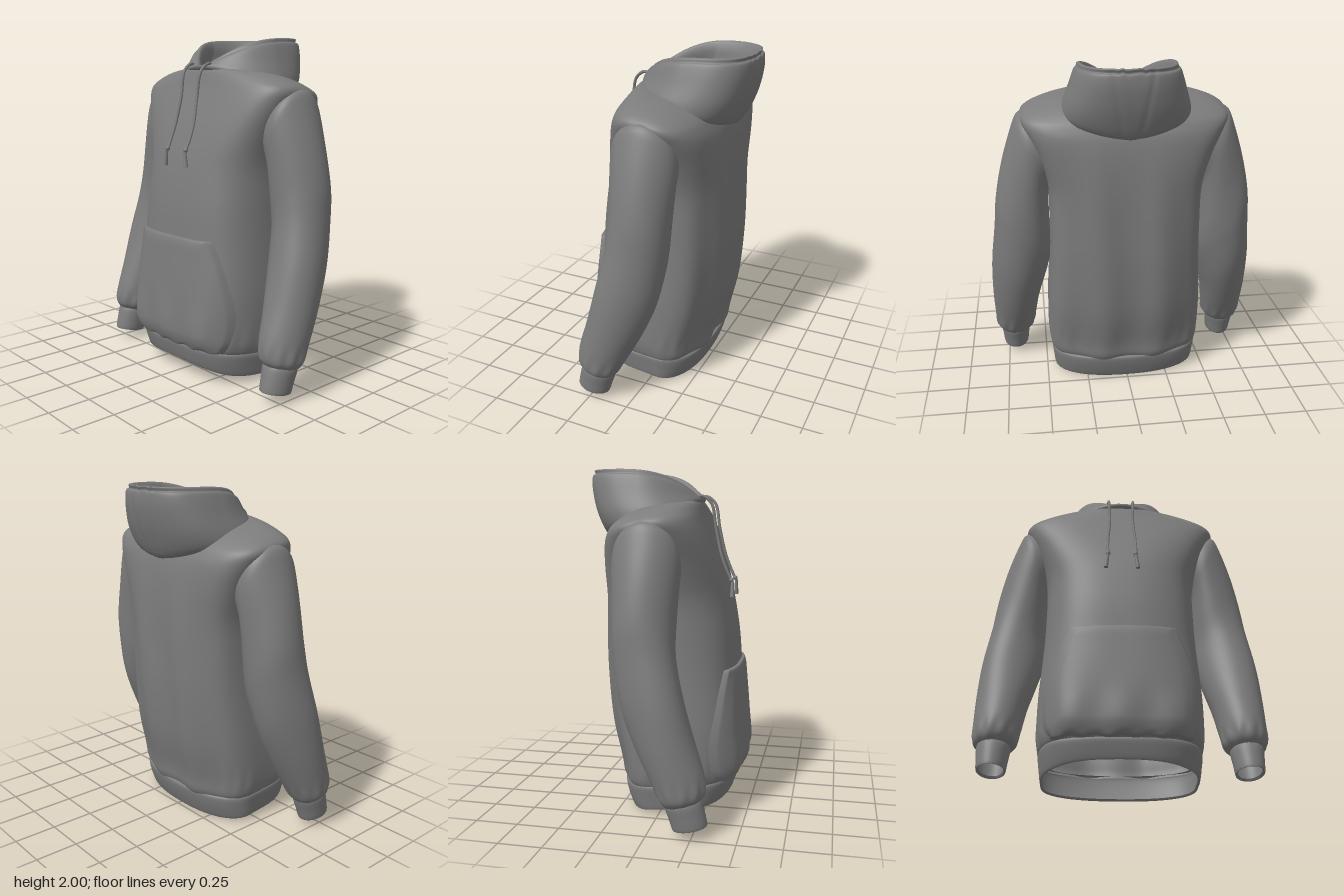
import * as THREE from 'three';

const material = new THREE.MeshStandardMaterial({ color: 0x7c7c7c, side: THREE.DoubleSide });

// Smoothly subdivides a list of key rows (arrays of equal length).
function refine(keys, steps) {
  const out = [];
  const at = i => keys[Math.max(0, Math.min(keys.length - 1, i))];
  for (let i = 0; i < keys.length - 1; i++) {
    for (let s = 0; s < steps; s++) {
      const t = s / steps;
      out.push(keys[i].map((b, k) => {
        const a = at(i - 1)[k], c = at(i + 1)[k], d = at(i + 2)[k];
        return b + 0.5 * t * (c - a + t * (2 * a - 5 * b + 4 * c - d + t * (3 * (b - c) + d - a)));
      }));
    }
  }
  out.push(keys[keys.length - 1]);
  return out;
}

// Surface through rows of points; rows may be closed loops.
function skin(name, rows, closed) {
  const n = rows[0].length, index = [];
  for (let i = 0; i < rows.length - 1; i++) {
    for (let j = 0; j < (closed ? n : n - 1); j++) {
      const k = (j + 1) % n;
      const a = i * n + j, b = i * n + k, c = a + n, d = b + n;
      index.push(a, b, d, a, d, c);
    }
  }
  const geo = new THREE.BufferGeometry();
  geo.setAttribute('position', new THREE.Float32BufferAttribute(rows.flat(2), 3));
  geo.setIndex(index);
  geo.computeVertexNormals();
  const mesh = new THREE.Mesh(geo, material);
  mesh.name = name;
  return mesh;
}

// Rounded cross-section: half width, front z, back z, middle z, front and back
// squareness, front y, back y, and how quickly y changes from front to back.
function ring([w, zf, zb, zc, nf, nb, yf, yb, p], count, shape) {
  const pts = [];
  for (let j = 0; j < count; j++) {
    const a = j / count * Math.PI * 2, s = Math.sin(a), c = Math.cos(a);
    const e = 2 / (c >= 0 ? nf : nb);
    const x = w * Math.sign(s) * Math.abs(s) ** e;
    const z = zc + (c >= 0 ? zf - zc : zb - zc) * Math.abs(c) ** e;
    const t = THREE.MathUtils.clamp((zf - z) / (zf - zb), 0, 1);
    const pt = [x, yf + (yb - yf) * (1 - (1 - t) ** p), z];
    if (shape) shape(pt, a);
    pts.push(pt);
  }
  return pts;
}

const torsoRings = refine([
  [.455, .400, -.255, -.03, 3.5, 2.4, .19, .14, 1],
  [.470, .420, -.272, -.03, 3.5, 2.5, .22, .18, 1],
  [.480, .430, -.285, -.03, 3.5, 2.5, .30, .27, 1],
  [.478, .432, -.335, -.03, 3.4, 2.7, .52, .50, 1],
  [.460, .412, -.360, -.03, 3.1, 3.1, .80, .80, 1],
  [.453, .395, -.365, -.03, 2.9, 3.4, 1.03, 1.03, 1],
  [.458, .355, -.365, -.03, 2.9, 3.6, 1.26, 1.26, 1],
  [.508, .300, -.357, -.04, 3.4, 3.7, 1.45, 1.44, 1],
  [.572, .240, -.340, -.05, 3.8, 3.6, 1.61, 1.57, 1],
  [.606, .205, -.315, -.05, 3.4, 3.3, 1.70, 1.64, 1],
  [.575, .188, -.295, -.05, 2.7, 2.8, 1.755, 1.68, 1],
  [.480, .174, -.265, -.05, 2.2, 2.3, 1.80, 1.72, 1],
  [.365, .160, -.235, -.05, 1.9, 2.1, 1.815, 1.75, 1],
  [.200, .140, -.200, -.05, 1.7, 2.2, 1.785, 1.80, 1],
], 5);

// Gathers above the hem and long soft folds down the back.
function torsoFolds(pt, a) {
  const [x, y, z] = pt;
  const gather = 1 + 0.005 * Math.sin(a * 22) * Math.exp(-(((y - 0.27) / 0.07) ** 2));
  pt[0] = x * gather;
  pt[2] = z * gather;
  if (z < -0.1) {
    const fade = Math.min(1, (-0.1 - z) / 0.15) * Math.max(0, Math.min(1, (1.6 - y) / 0.5));
    pt[2] += 0.013 * Math.cos(x * 19 + 0.5 * Math.sin(y * 3)) * fade;
  }
}

// Front surface of the torso, used to lay the pocket on.
function chestZ(x, y) {
  let i = 0;
  while (i < torsoRings.length - 2 && torsoRings[i + 1][6] < y) i++;
  const A = torsoRings[i], B = torsoRings[i + 1];
  const t = THREE.MathUtils.clamp((y - A[6]) / (B[6] - A[6]), 0, 1);
  const [w, zf, , zc, nf] = A.map((v, k) => v + (B[k] - v) * t);
  return zc + (zf - zc) * Math.max(0, 1 - Math.min(1, Math.abs(x) / w) ** nf) ** (1 / nf);
}

function makePocket() {
  const rows = [], R = 36, C = 60;
  const outline = refine([[.385, .20], [.425, .27], [.440, .38], [.432, .50], [.385, .68], [.330, .82], [.308, .85]], 6);
  for (let i = 0; i <= R; i++) {
    const [half, y] = outline[i], row = [];
    for (let j = 0; j <= C; j++) {
      const u = j / C * 2 - 1, x = u * half;
      const edge = Math.min(i, R - i, j, C - j);
      const sag = 0.013 * Math.exp(-(((y - 0.30) / 0.15) ** 2));
      const flare = 0.012 * u ** 6;
      const lift = edge === 0 ? -0.012 : 0.014 + flare + 0.012 * Math.min(1, (edge - 1) / 6) + sag * (1 + 0.7 * Math.cos(x * 22));
      row.push([x, y + (i < 3 ? 0.005 * Math.cos(x * 45) : 0), chestZ(x, y) + lift]);
    }
    rows.push(row);
  }
  return skin('frontPocket', rows, false);
}

// Sleeve ring: outer x, y, inner x, y, middle z, half depth, tilt with z.
function sleeveRing([ox, oy, ix, iy, zc, d, tilt], side, wrinkles) {
  const pts = [], N = 64;
  for (let j = 0; j < N; j++) {
    const a = j / N * Math.PI * 2;
    const yMid = (oy + iy) / 2;
    const k = wrinkles ? 1 + 0.02 * Math.sin(3 * a + yMid * 7) * Math.min(1, Math.max(0, 1.35 - yMid) * 3)
      + 0.03 * Math.sin(11 * a) * Math.exp(-(((yMid - 0.25) / 0.05) ** 2)) : 1;
    const s = Math.sin(a) * k, z = d * Math.cos(a) * k;
    pts.push([side * ((ox + ix) / 2 + (ox - ix) / 2 * s), yMid + (oy - iy) / 2 * s + tilt * z, zc + z]);
  }
  return side > 0 ? pts : pts.reverse();
}

const sleeveKeys = [
  [.785, .185, .612, .185, .195, .095, .2],
  [.818, .225, .575, .225, .195, .125, .2],
  [.824, .32, .560, .30, .170, .145, .2],
  [.826, .52, .535, .45, .100, .167, .1],
  [.818, .75, .500, .60, .035, .182, 0],
  [.790, 1.00, .462, .78, -.018, .176, 0],
  [.770, 1.18, .455, .90, -.038, .174, 0],
  [.722, 1.40, .455, 1.04, -.040, .180, 0],
  [.660, 1.60, .455, 1.17, -.040, .190, 0],
  [.620, 1.685, .445, 1.24, -.040, .192, 0],
  [.560, 1.70, .410, 1.30, -.045, .180, 0],
  [.500, 1.69, .380, 1.34, -.045, .165, 0],
];
const cuffKeys = [
  [.765, .065, .635, .065, .240, .085, .2],
  [.780, .055, .622, .055, .240, .096, .2],
  [.787, .120, .614, .120, .222, .100, .2],
  [.792, .190, .607, .190, .200, .102, .2],
  [.770, .205, .630, .205, .195, .085, .2],
];

// Hood lying on the back: up the outside, over the rim, down the lining.
const hoodRings = refine([
  [.362, .165, -.330, -.13, 2.0, 2.1, 1.800, 1.585, .65],
  [.376, .178, -.385, -.13, 2.0, 2.2, 1.808, 1.60, .72],
  [.362, .186, -.448, -.14, 2.0, 2.5, 1.820, 1.74, 1.4],
  [.326, .186, -.480, -.15, 1.9, 2.7, 1.832, 1.87, 2.5],
  [.296, .180, -.482, -.15, 1.75, 2.9, 1.832, 1.955, 4],
  [.282, .172, -.468, -.15, 1.6, 2.8, 1.828, 1.970, 4.4],
  [.276, .172, -.474, -.15, 1.5, 2.8, 1.826, 1.990, 4.6],
  [.256, .162, -.450, -.15, 1.45, 2.8, 1.815, 1.988, 4.6],
  [.238, .154, -.415, -.14, 1.4, 2.7, 1.805, 1.940, 4.3],
  [.230, .150, -.385, -.11, 1.4, 2.6, 1.795, 1.870, 4],
  [.208, .148, -.285, -.07, 1.45, 2.6, 1.790, 1.845, 3],
  [.178, .148, -.192, -.06, 1.55, 3.0, 1.785, 1.875, 2],
], 5);

// Soft panel seams at the back of the hood and puckers at the crown.
function hoodSeams(pt) {
  const [x, y, z] = pt;
  if (z < -0.33) {
    const seam = 0.05 + 0.16 * Math.max(0, y - 1.6);
    pt[2] += 0.005 * Math.exp(-(((Math.abs(x) - seam) / 0.015) ** 2));
    if (y > 1.93) pt[1] += 0.007 * Math.sin(x * 130) * Math.exp(-((x / 0.07) ** 2));
  }
}

// Drawstring with eyelet, knot and tip.
function makeDrawstring(side) {
  const g = new THREE.Group();
  g.name = side > 0 ? 'leftDrawstring' : 'rightDrawstring';
  const add = (name, geo, x, y, z) => {
    const m = new THREE.Mesh(geo, material);
    m.name = name;
    m.position.set(x, y, z);
    g.add(m);
    return m;
  };
  const path = [[.075, 1.82, .135], [.078, 1.842, .18], [.076, 1.80, .238], [.072, 1.65, .268],
    [.082, 1.50, .302], [.085, 1.41, .335], [.083, 1.345, .365]];
  const curve = new THREE.CatmullRomCurve3(path.map(([x, y, z]) => new THREE.Vector3(side * x, y, z)));
  add('cord', new THREE.TubeGeometry(curve, 60, 0.009, 8), 0, 0, 0);
  add('eyelet', new THREE.TorusGeometry(0.014, 0.005, 8, 20), side * .076, 1.83, .155).rotation.x = -0.5;
  add('knot', new THREE.SphereGeometry(0.014, 14, 10), side * .083, 1.35, .364);
  add('tip', new THREE.CylinderGeometry(0.009, 0.013, 0.09, 12), side * .09, 1.295, .371).rotation.z = side * 0.13;
  return g;
}

export function createModel() {
  const model = new THREE.Group();
  model.name = 'hoodedSweatshirt';

  model.add(skin('torso', torsoRings.map(r => ring(r, 128, torsoFolds)), true));

  // Waistband, lower at the back and arched at the front
  const hem = refine([
    [.435, .375, -.210, -.03, 3.2, 2.3, .098, .008, 1],
    [.448, .388, -.225, -.03, 3.2, 2.3, .090, 0, 1],
    [.458, .404, -.255, -.03, 3.4, 2.4, .140, .08, 1],
    [.464, .414, -.268, -.03, 3.5, 2.4, .195, .145, 1],
    [.445, .392, -.250, -.03, 3.5, 2.4, .205, .155, 1],
  ], 4);
  const arch = pt => {
    const low = THREE.MathUtils.clamp((0.2 - pt[1]) / 0.12, 0, 1);
    if (pt[2] > 0) pt[1] -= 0.03 * low * (pt[0] / 0.45) ** 2 * Math.min(1, pt[2] / 0.3);
  };
  model.add(skin('hem', hem.map(r => ring(r, 96, arch)), true));

  model.add(makePocket());
  model.add(skin('hood', hoodRings.map(r => ring(r, 160, hoodSeams)), true));

  for (const side of [1, -1]) {
    const label = side > 0 ? 'left' : 'right';
    model.add(skin(label + 'Sleeve', refine(sleeveKeys, 5).map(r => sleeveRing(r, side, true)), true));
    model.add(skin(label + 'Cuff', refine(cuffKeys, 4).map(r => sleeveRing(r, side, false)), true));
    model.add(makeDrawstring(side));
  }
  return model;
}
